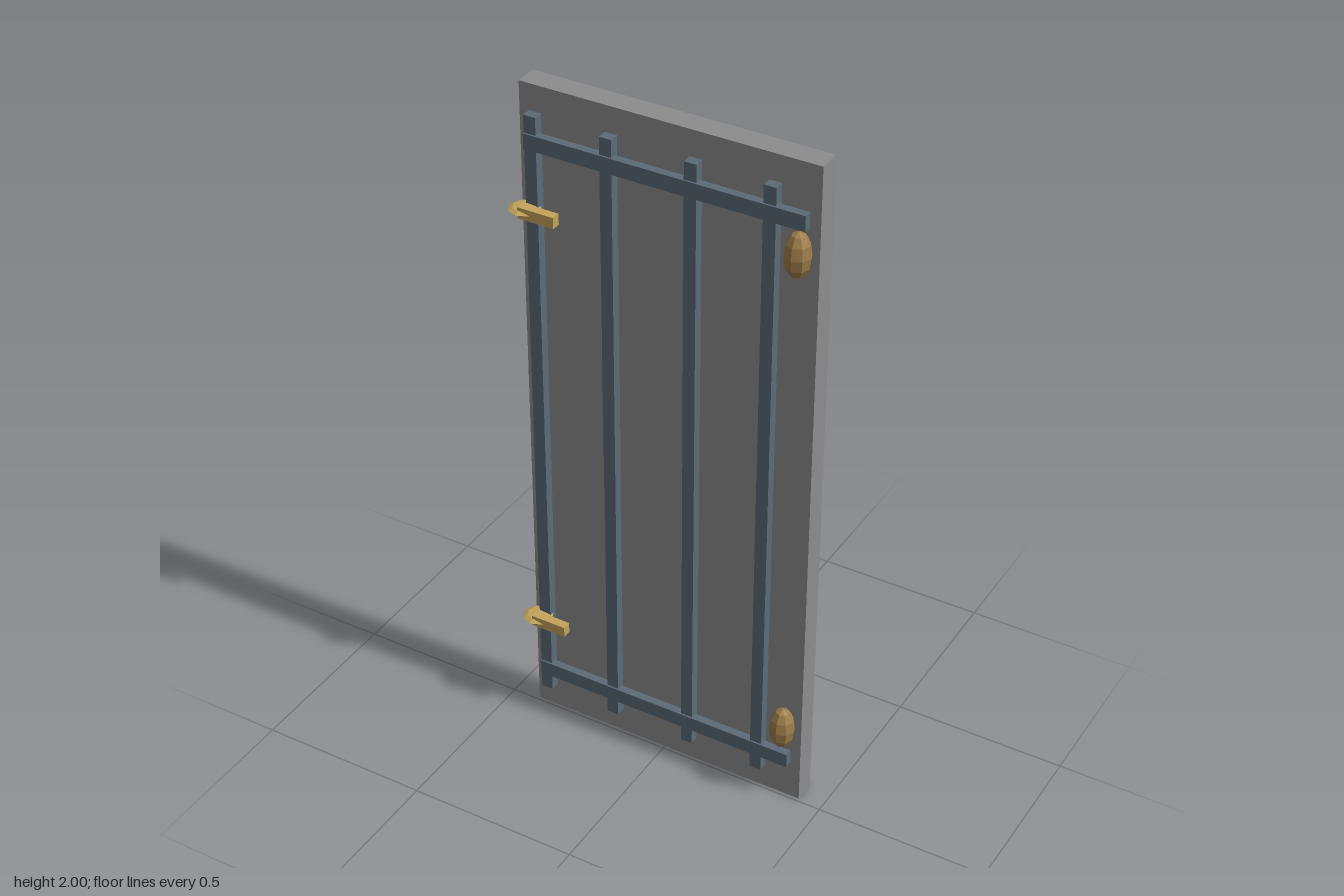
import * as THREE from 'three';

const material = (color) => new THREE.MeshStandardMaterial({ color, flatShading: true });

export function createModel() {
  const group = new THREE.Group();
  const grey = material(0x8c8c8c);
  const iron = material(0x5b6b78);
  const brass = material(0xc4a35a);
  const bronze = material(0x9c7c48);

  const add = (name, geometry, mat, x, y, z) => {
    const mesh = new THREE.Mesh(geometry, mat);
    mesh.name = name;
    mesh.position.set(x, y, z);
    group.add(mesh);
    return mesh;
  };
  // Box given by its min and max on each axis
  const box = (name, mat, [x0, x1], [y0, y1], [z0, z1]) =>
    add(name, new THREE.BoxGeometry(x1 - x0, y1 - y0, z1 - z0), mat,
      (x0 + x1) / 2, (y0 + y1) / 2, (z0 + z1) / 2);

  // Door slab
  box('doorPanel', grey, [-0.42, 0.43], [0, 2], [-0.076, -0.01]);

  // Vertical bars
  for (const x of [-0.374, -0.154, 0.086, 0.305])
    box('verticalBar', iron, [x - 0.0175, x + 0.0175], [0.078, 1.925], [-0.01, 0.018]);

  // Cross straps
  for (const y of [0.152, 1.853])
    box('crossStrap', iron, [-0.391, 0.405], [y - 0.022, y + 0.022], [0, 0.023]);

  // Faceted hinge barrels on the left edge
  for (const y of [0.253, 1.753]) {
    const barrel = add('hingeBarrel', new THREE.SphereGeometry(1, 8, 6), bronze, 0.38, y, 0.008);
    barrel.scale.set(0.037, 0.065, 0.037);
  }

  // Latches: flattened knob with a short lever
  for (const y of [0.346, 1.666]) {
    const knob = add('latchKnob', new THREE.SphereGeometry(1, 8, 4), brass, -0.388, y, 0.031);
    knob.scale.set(0.044, 0.009, 0.044);
    box('latchLever', brass, [-0.391, -0.284], [y - 0.016, y + 0.016], [0.034, 0.06]);
  }
  return group;
}
